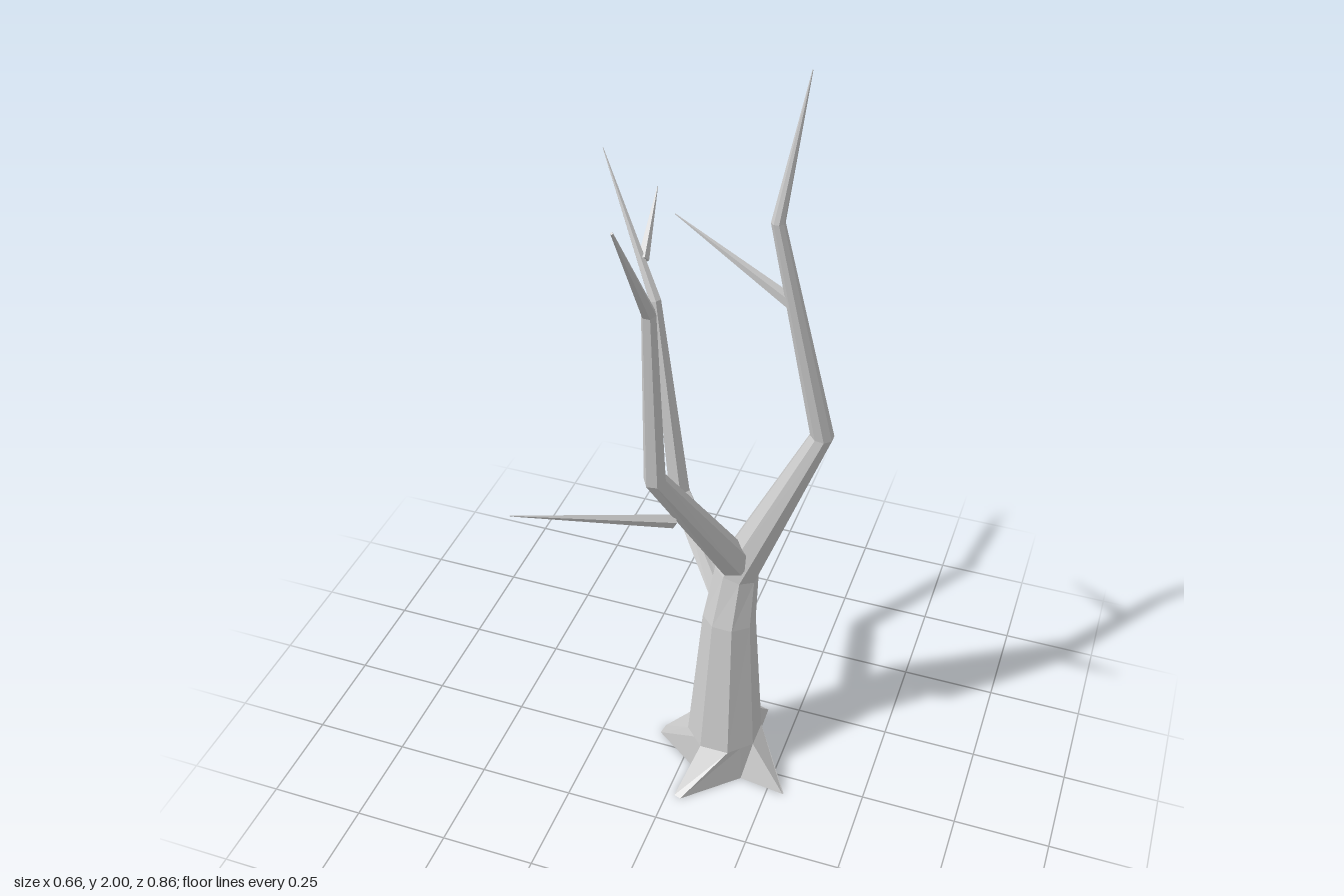
import * as THREE from 'three';

const material = new THREE.MeshStandardMaterial({ color: 0xcccccc, flatShading: true });
const V = (x, y, z) => new THREE.Vector3(x, y, z);

// Skin a list of equal-length rings, closing both ends with a fan
function loft(rings) {
  const pos = [];
  const tri = (...pts) => pts.forEach((p) => pos.push(p.x, p.y, p.z));
  const n = rings[0].length;
  for (let i = 0; i < rings.length - 1; i++) {
    for (let j = 0; j < n; j++) {
      const k = (j + 1) % n;
      const a = rings[i][j], b = rings[i][k], c = rings[i + 1][k], d = rings[i + 1][j];
      tri(a, b, c);
      tri(a, c, d);
    }
  }
  const middle = (ring) => ring.reduce((s, p) => s.add(p), V(0, 0, 0)).divideScalar(n);
  const first = rings[0], last = rings[rings.length - 1];
  const m0 = middle(first), m1 = middle(last);
  for (let j = 0; j < n; j++) {
    const k = (j + 1) % n;
    tri(m0, first[k], first[j]);
    tri(m1, last[j], last[k]);
  }
  const geometry = new THREE.BufferGeometry();
  geometry.setAttribute('position', new THREE.Float32BufferAttribute(pos, 3));
  geometry.computeVertexNormals();
  return geometry;
}

// Regular polygon around a centre, square to a direction
function ring(centre, dir, radius, sides) {
  const u = V(0, 0, 1).addScaledVector(dir, -dir.z).normalize();
  const v = dir.clone().cross(u);
  return Array.from({ length: sides }, (_, k) => {
    const a = ((k + 0.5) * 2 * Math.PI) / sides;
    return centre.clone()
      .addScaledVector(u, radius * Math.cos(a))
      .addScaledVector(v, radius * Math.sin(a));
  });
}

// Tapered limb through points given as [x, y, z, radius]
function limb(points, sides, startDir) {
  const c = points.map(([x, y, z]) => V(x, y, z));
  const step = (i) => c[i + 1].clone().sub(c[i]).normalize();
  return loft(c.map((p, i) => {
    const dir = V(0, 0, 0);
    if (i > 0) dir.add(step(i - 1));
    if (i < c.length - 1) dir.add(step(i));
    if (i === 0 && startDir) dir.copy(startDir);
    return ring(p, dir.normalize(), points[i][3], sides);
  }));
}

// Four roots spreading from the octagonal trunk foot to the ground
function rootFlare(foot, radius) {
  const oct = ring(foot, V(0, 1, 0), radius, 8);
  // tip x, tip z, half width; in order front, left, back, right
  const tips = [[0.03, 0.165, 0.01], [0.295, 0.06, 0.002], [0.153, -0.227, 0.014], [-0.09, -0.055, 0.015]];
  const bottom = [], top = [];
  tips.forEach(([x, z, w], i) => {
    const out = V(x - foot.x, 0, z - foot.z).normalize();
    const side = V(out.z, 0, -out.x);
    const a = oct[(2 * i + 7) % 8], b = oct[2 * i], next = oct[2 * i + 1];
    const tip = V(x, 0, z);
    bottom.push(tip.clone().addScaledVector(side, -w), tip.clone().addScaledVector(side, w));
    top.push(a, b);
    // valley between this root and the next
    const mid = b.clone().lerp(next, 0.5);
    bottom.push(V(foot.x + (mid.x - foot.x) * 1.08, 0, foot.z + (mid.z - foot.z) * 1.08));
    top.push(mid);
  });
  return loft([bottom, top]);
}

export function createModel() {
  const tree = new THREE.Group();
  tree.name = 'bareTree';
  const add = (name, geometry) => {
    const mesh = new THREE.Mesh(geometry, material);
    mesh.name = name;
    tree.add(mesh);
  };

  const foot = V(0.1, 0.11, -0.025);
  add('roots', rootFlare(foot, 0.1));

  // Trunk running on into the tallest branch
  add('trunk', limb([
    [foot.x, foot.y, foot.z, 0.1],
    [0.1, 0.5, -0.045, 0.069],
    [0.11, 0.64, -0.07, 0.058],
    [0.302, 1.09, -0.102, 0.029],
    [0.188, 1.665, -0.053, 0.016],
    [0.235, 2.0, -0.1, 0.001],
  ], 8, V(0, 1, 0)));

  add('frontBranch', limb([
    [0.112, 0.69, -0.045, 0.045],
    [-0.008, 1.1, 0.198, 0.027],
    [0, 1.57, 0.24, 0.017],
    [0, 1.86, 0.427, 0.003],
  ], 6));

  add('backRightBranch', limb([
    [0.07, 0.52, -0.085, 0.035],
    [-0.095, 0.735, -0.21, 0.03],
    [-0.168, 1.285, -0.243, 0.016],
    [-0.33, 1.62, -0.336, 0.001],
  ], 6));

  // Thin side twigs: base point, tip point
  const twigs = {
    trunkTwig: [[0.222, 1.46, -0.07, 0.017], [-0.055, 1.63, -0.075, 0.001]],
    frontTwig: [[0.015, 0.94, 0.14, 0.018], [-0.27, 1.09, 0.415, 0.001]],
    backTwig: [[-0.208, 1.375, -0.27, 0.015], [-0.227, 1.49, -0.427, 0.001]],
  };
  for (const [name, points] of Object.entries(twigs)) add(name, limb(points, 5));

  return tree;
}
